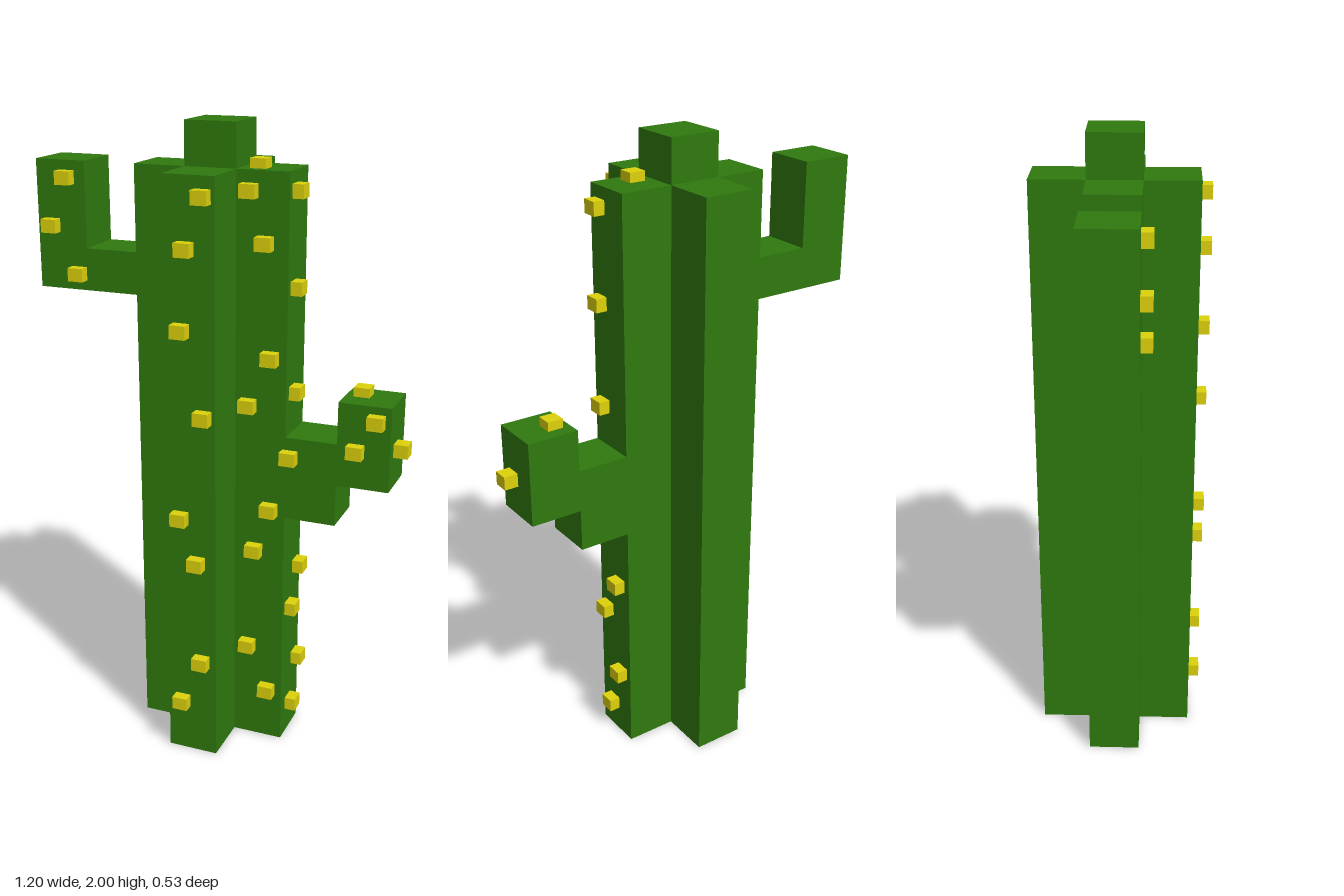
import * as THREE from 'three';

const green = new THREE.MeshStandardMaterial({ color: 0x2f7a0e, flatShading: true });
const yellow = new THREE.MeshStandardMaterial({ color: 0xded20c, flatShading: true });

// Shared grid lines of the blocky ribs
const X = [-0.6, -0.435, -0.267, -0.103, 0.06, 0.224, 0.388, 0.552];
const Z = [-0.265, -0.1, 0.063, 0.228];
const TOP = 1.868;

function prism(points, depth) {
  const shape = new THREE.Shape(points.map(([x, y]) => new THREE.Vector2(x, y)));
  return new THREE.ExtrudeGeometry(shape, { depth, bevelEnabled: false });
}

function addMesh(parent, name, geometry, material) {
  const mesh = new THREE.Mesh(geometry, material);
  mesh.name = name;
  parent.add(mesh);
  return mesh;
}

export function createModel() {
  const model = new THREE.Group();
  model.name = 'cactus';

  // Trunk: plus-shaped section extruded upwards
  const plus = [
    [X[2], Z[1]], [X[3], Z[1]], [X[3], Z[0]], [X[4], Z[0]], [X[4], Z[1]], [X[5], Z[1]],
    [X[5], Z[2]], [X[4], Z[2]], [X[4], Z[3]], [X[3], Z[3]], [X[3], Z[2]], [X[2], Z[2]],
  ].map(([x, z]) => [x, -z]);
  addMesh(model, 'trunk', prism(plus, TOP).rotateX(-Math.PI / 2), green);

  // Raised centre rib on top
  const crown = new THREE.BoxGeometry(X[4] - X[3], 2 - TOP, Z[2] - Z[1]);
  addMesh(model, 'crown', crown, green)
    .position.set((X[3] + X[4]) / 2, (2 + TOP) / 2, (Z[1] + Z[2]) / 2);

  // Arms: stepped side outlines extruded through the rib depth
  const arms = {
    rightArm: [[X[0], 1.47], [X[2], 1.47], [X[2], 1.602], [X[1], 1.602], [X[1], TOP], [X[0], TOP]],
    leftArm: [[X[5], 0.802], [X[6], 0.802], [X[6], 0.936], [X[7], 0.936], [X[7], 1.202],
      [X[6], 1.202], [X[6], 1.069], [X[5], 1.069]],
  };
  for (const [name, outline] of Object.entries(arms)) {
    addMesh(model, name, prism(outline, Z[2] - Z[1]), green).position.z = Z[1];
  }

  // Spines: small blocks standing on the surfaces
  const spines = new THREE.Group();
  spines.name = 'spines';
  model.add(spines);
  function addSpines(name, size, positions) {
    const geometry = new THREE.BoxGeometry(...size);
    for (const p of positions) addMesh(spines, name, geometry, yellow).position.set(...p);
  }
  const frontSize = [0.05, 0.042, 0.035];
  const onFront = (z, list) => list.map(([x, y]) => [x, y, z + 0.0165]);

  addSpines('frontRibSpine', frontSize, onFront(Z[3], [
    [0.024, 1.81], [-0.03, 1.66], [-0.046, 1.42], [0.024, 1.16],
    [-0.054, 0.825], [0, 0.68], [0.014, 0.335], [-0.054, 0.18],
  ]));
  addSpines('leftRibSpine', frontSize, onFront(Z[2], [
    [0.104, 1.81], [0.153, 1.66], [0.174, 1.315], [0.104, 1.16],
    [0.177, 0.825], [0.128, 0.68], [0.109, 0.335], [0.177, 0.18],
  ]));
  addSpines('armSpine', frontSize, onFront(Z[2], [
    [0.239, 1.008], [0.448, 1.057], [0.509, 1.157],
    [-0.496, 1.817], [-0.55, 1.668], [-0.463, 1.522],
  ]));
  addSpines('sideSpine', [0.036, 0.042, 0.05], [
    [1.81, 0.016], [1.526, 0.016], [1.202, 0.014], [0.595, -0.05],
    [0.473, 0.018], [0.255, -0.055], [0.108, -0.004],
  ].map(([y, z]) => [X[5] + 0.017, y, z]));
  addSpines('armEndSpine', [0.046, 0.042, 0.05], [[X[7] + 0.021, 1.057, 0]]);
  addSpines('topSpine', [0.05, 0.03, 0.05], [
    [0.116, TOP + 0.014, 0.01], [0.438, 1.202 + 0.014, -0.034],
  ]);

  return model;
}
